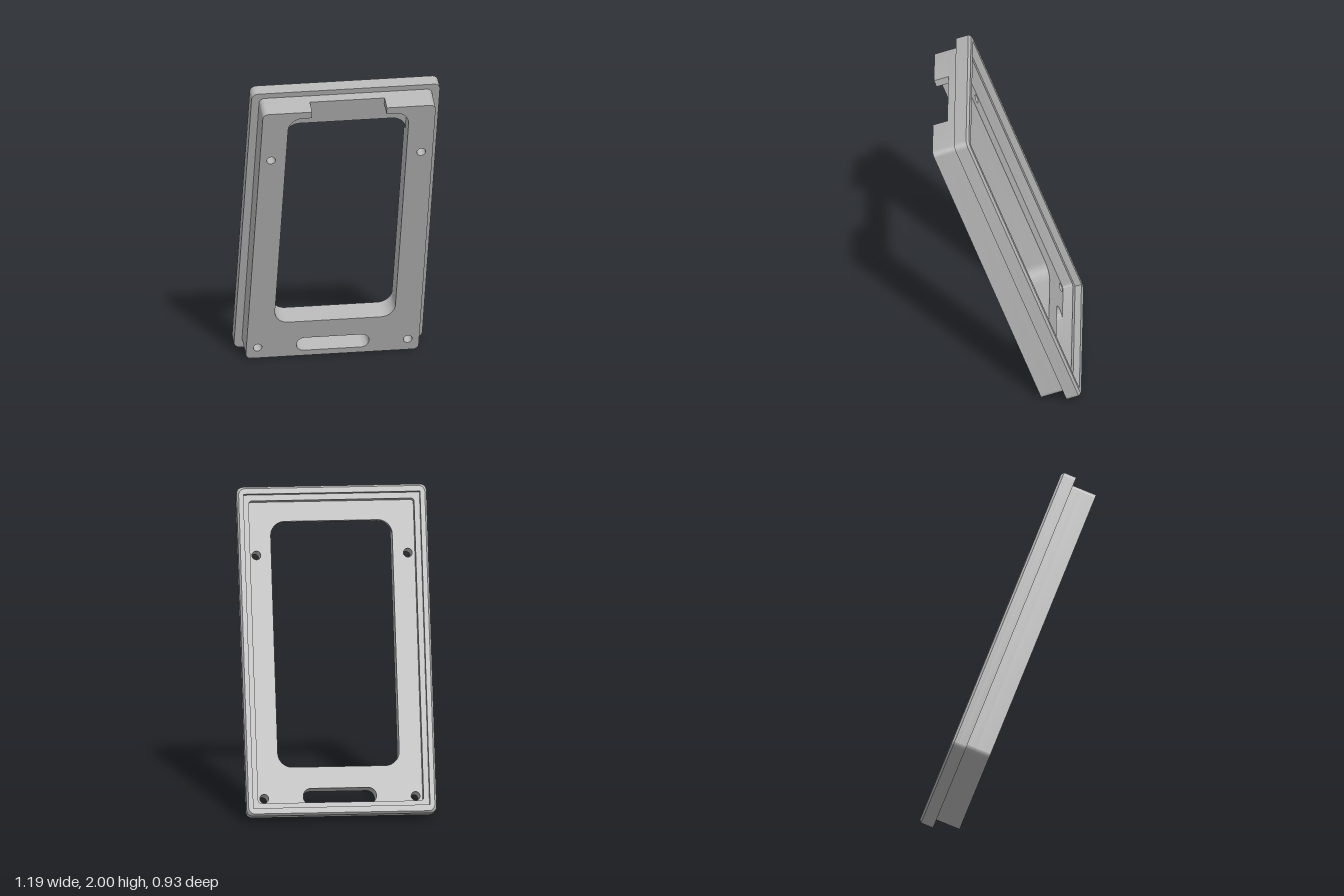
import * as THREE from 'three';
import { toCreasedNormals } from 'three/addons/utils/BufferGeometryUtils.js';

const grey = new THREE.MeshStandardMaterial({ color: 0xb4b4b4 });
grey.name = 'grey';

// Outline through right-angled corners, each [x, y, radius]
function outline(points, path = new THREE.Shape()) {
  const n = points.length, k = 0.5523;
  points.forEach(([x, y, r = 0], i) => {
    const toward = ([qx, qy]) => {
      const d = Math.hypot(qx - x, qy - y);
      return [x + (qx - x) / d * r, y + (qy - y) / d * r];
    };
    const a = toward(points[(i + n - 1) % n]);
    const b = toward(points[(i + 1) % n]);
    if (i === 0) path.moveTo(...a); else path.lineTo(...a);
    if (r) path.bezierCurveTo(
      a[0] + (x - a[0]) * k, a[1] + (y - a[1]) * k,
      b[0] + (x - b[0]) * k, b[1] + (y - b[1]) * k, ...b);
  });
  path.closePath();
  return path;
}

const rect = (hw, y0, y1, r) => [[-hw, y0, r], [hw, y0, r], [hw, y1, r], [-hw, y1, r]];
const hole = (points) => outline(points, new THREE.Path());

// Frame proportions, measured in the plane of the frame
const MID = 0.928;
const BODY = { w: 0.548, y0: MID - 1.003, y1: MID + 1.003, r: 0.035 };
const FLANGE = { w: 0.597, h: 1.041, r: 0.04 };
const WINDOW = { w: 0.382, y0: 0.206, y1: 1.762, r: 0.09 };
const OPENING_TOP = 1.882, NOTCH = 0.237;

const bodyRect = () => outline(rect(BODY.w, BODY.y0, BODY.y1, BODY.r));
const flangeRect = () => outline(rect(FLANGE.w, MID - FLANGE.h, MID + FLANGE.h, FLANGE.r));
const pocket = () => hole(rect(0.52, MID - 0.957, MID + 0.957, 0.02));
const lip = () => hole(rect(0.555, MID - 0.994, MID + 0.994, 0));

// Slot near the bottom edge and the four screw holes
function drill(shape) {
  shape.holes.push(hole(rect(0.23, -0.033, 0.07, 0.05)));
  for (const x of [-0.476, 0.476]) for (const y of [0.01, 1.55]) {
    const p = new THREE.Path();
    p.absarc(x, y, 0.028, 0, Math.PI * 2);
    shape.holes.push(p);
  }
  return shape;
}

function slab(name, shape, back, front, shapeVertex) {
  const g = new THREE.ExtrudeGeometry(shape, {
    depth: front - back, bevelEnabled: false, curveSegments: 10,
  });
  if (shapeVertex) {
    const p = g.attributes.position;
    for (let i = 0; i < p.count; i++) shapeVertex(p, i);
  }
  g.translate(0, 0, back);
  const mesh = new THREE.Mesh(toCreasedNormals(g, 0.5), grey);
  mesh.name = name;
  return mesh;
}

export function createModel() {
  const model = new THREE.Group();
  model.name = 'tiltedFrame';
  const frame = new THREE.Group();
  frame.name = 'frame';
  frame.rotation.x = THREE.MathUtils.degToRad(20);
  model.add(frame);

  // Front face: border open at the top notch
  const { w, y0, y1, r } = BODY;
  const face = drill(outline([
    [NOTCH, y1], [w, y1, r], [w, y0, r], [-w, y0, r], [-w, y1, r], [-NOTCH, y1],
    [-NOTCH, OPENING_TOP], [-WINDOW.w, OPENING_TOP, WINDOW.r],
    [-WINDOW.w, WINDOW.y0, WINDOW.r], [WINDOW.w, WINDOW.y0, WINDOW.r],
    [WINDOW.w, OPENING_TOP, WINDOW.r], [NOTCH, OPENING_TOP],
  ]));
  frame.add(slab('frontBorder', face, -0.303, -0.207));

  // Thin plate behind the notch, with the smaller window
  const plate = drill(bodyRect());
  plate.holes.push(hole(rect(WINDOW.w, WINDOW.y0, WINDOW.y1, WINDOW.r)));
  frame.add(slab('windowPlate', plate, -0.35, -0.303));

  // Pocket walls within the body and the flange
  const wall = bodyRect();
  wall.holes.push(pocket());
  frame.add(slab('pocketWall', wall, -0.364, -0.35));
  const ledge = flangeRect();
  ledge.holes.push(pocket());
  frame.add(slab('flangeLedge', ledge, -0.416, -0.364));

  // Raised lip, with a chamfered outer back edge
  const rim = flangeRect();
  rim.holes.push(lip());
  frame.add(slab('flangeLip', rim, -0.445, -0.416));
  const chamfer = 0.012;
  const edge = flangeRect();
  edge.holes.push(lip());
  frame.add(slab('chamferedEdge', edge, -0.46, -0.445, (p, i) => {
    const x = p.getX(i), y = p.getY(i) - MID;
    if (p.getZ(i) > 0.001 || (Math.abs(x) < 0.556 && Math.abs(y) < 0.995)) return;
    p.setX(i, x * (1 - chamfer / FLANGE.w));
    p.setY(i, MID + y * (1 - chamfer / FLANGE.h));
  }));

  return model;
}
